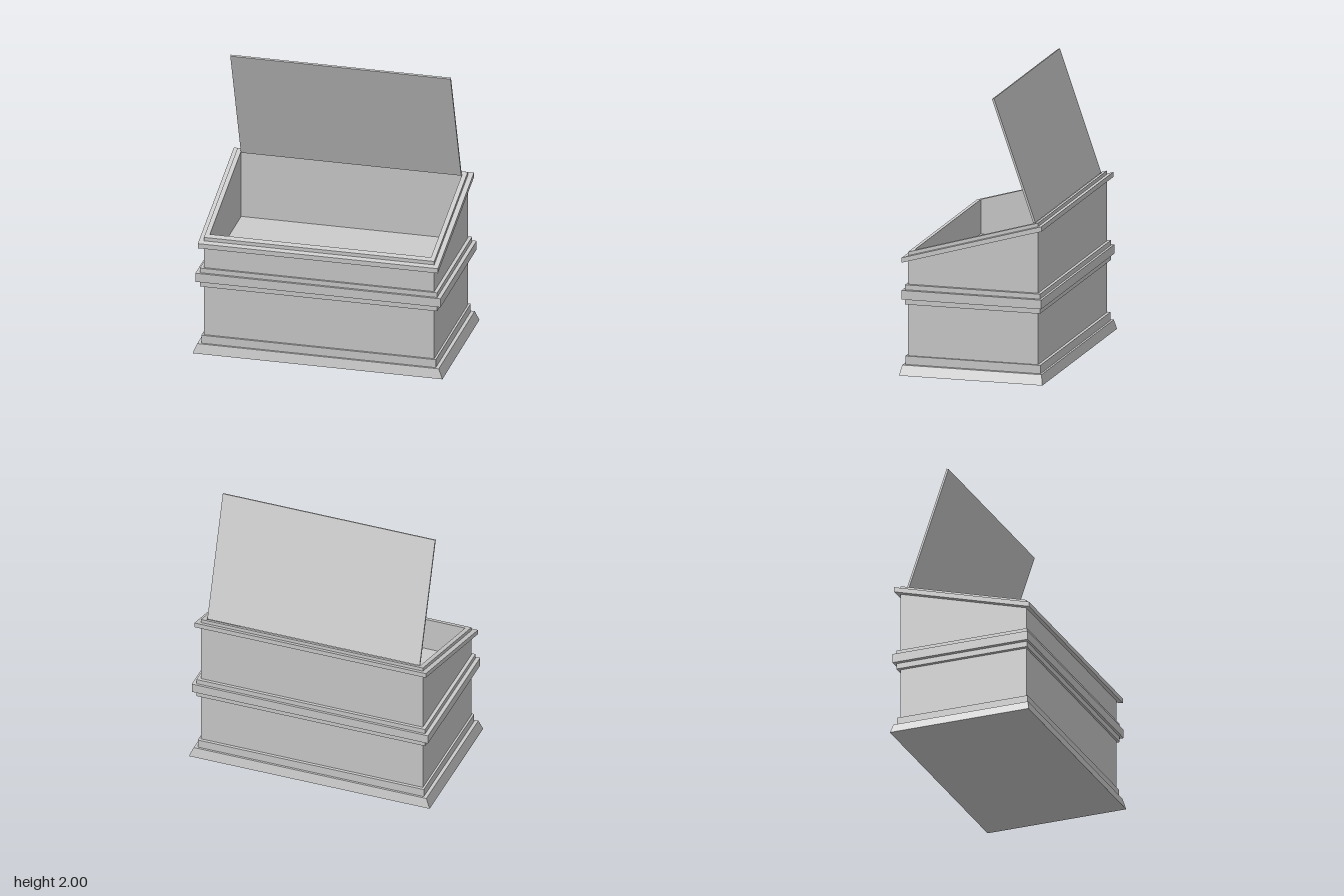
import * as THREE from 'three';

const material = new THREE.MeshStandardMaterial({ color: 0xcccccc, flatShading: true });

// Height of the slanted rim at depth z: low in front, high at the back.
const SLOPE = 0.287;
const rimTop = (z) => 1.006 - SLOPE * z;

function rectangle(path, hw, z0, z1) {
  path.moveTo(-hw, -z1);
  path.lineTo(hw, -z1);
  path.lineTo(hw, -z0);
  path.lineTo(-hw, -z0);
  path.closePath();
  return path;
}

// Rectangular frame around an opening; heightAt(z, isTop) sets each vertex height.
function frame(outer, inner, heightAt) {
  const shape = rectangle(new THREE.Shape(), ...outer);
  shape.holes.push(rectangle(new THREE.Path(), ...inner));
  const geometry = new THREE.ExtrudeGeometry(shape, { depth: 1, bevelEnabled: false });
  geometry.rotateX(-Math.PI / 2);
  const p = geometry.attributes.position;
  for (let i = 0; i < p.count; i++) p.setY(i, heightAt(p.getZ(i), p.getY(i) > 0.5));
  geometry.computeVertexNormals();
  return geometry;
}

// Block between two heights, optionally narrowing towards its top.
function block(hw, hd, y0, y1, topHw = hw, topHd = hd) {
  const geometry = new THREE.BoxGeometry(hw * 2, y1 - y0, hd * 2);
  geometry.translate(0, (y0 + y1) / 2, 0);
  const p = geometry.attributes.position;
  const mid = (y0 + y1) / 2;
  for (let i = 0; i < p.count; i++) {
    if (p.getY(i) > mid) {
      p.setX(i, Math.sign(p.getX(i)) * topHw);
      p.setZ(i, Math.sign(p.getZ(i)) * topHd);
    }
  }
  geometry.computeVertexNormals();
  return geometry;
}

export function createModel() {
  const model = new THREE.Group();
  model.name = 'slantedChest';
  const add = (name, geometry) => {
    const mesh = new THREE.Mesh(geometry, material);
    mesh.name = name;
    model.add(mesh);
    return mesh;
  };

  const FLOOR = 0.635;
  const body = [0.825, -0.468, 0.475];
  const cavity = [0.792, -0.44, 0.437];

  // Stepped plinth with a sloping foot
  add('plinthFoot', block(0.895, 0.52, 0, 0.07, 0.865, 0.505));
  add('plinthStep', block(0.84, 0.49, 0.07, 0.13));

  // Solid lower body, whose top is the floor of the cavity
  add('lowerBody', block(0.825, 0.4715, 0.13, FLOOR)).position.z = 0.0035;

  // Walls rising to the slanted opening
  add('upperWalls', frame(body, cavity, (z, top) => (top ? rimTop(z) : FLOOR)));

  // Three-step moulding around the waist
  const waist = [
    ['waistLower', 0.85, 0.49, 0.5, 0.54],
    ['waistMiddle', 0.878, 0.507, 0.54, 0.605],
    ['waistUpper', 0.85, 0.49, 0.605, 0.64],
  ];
  for (const [name, hw, hd, y0, y1] of waist) {
    add(name, frame([hw, -hd, hd], [0.81, -0.455, 0.46], (z, top) => (top ? y1 : y0)));
  }

  // Slanted band just below the rim
  add('rimBand', frame([0.86, -0.503, 0.51], [0.81, -0.455, 0.46],
    (z, top) => rimTop(z) - (top ? 0.026 : 0.061)));

  // Open lid, hinged at the back and leaning backwards
  const lidGeometry = new THREE.BoxGeometry(1.578, 0.916, 0.015);
  lidGeometry.translate(0, 0.458, 0);
  const lid = add('lid', lidGeometry);
  lid.position.set(0, 1.13, -0.43);
  lid.rotation.x = Math.atan2(0.3, 0.865);

  return model;
}
